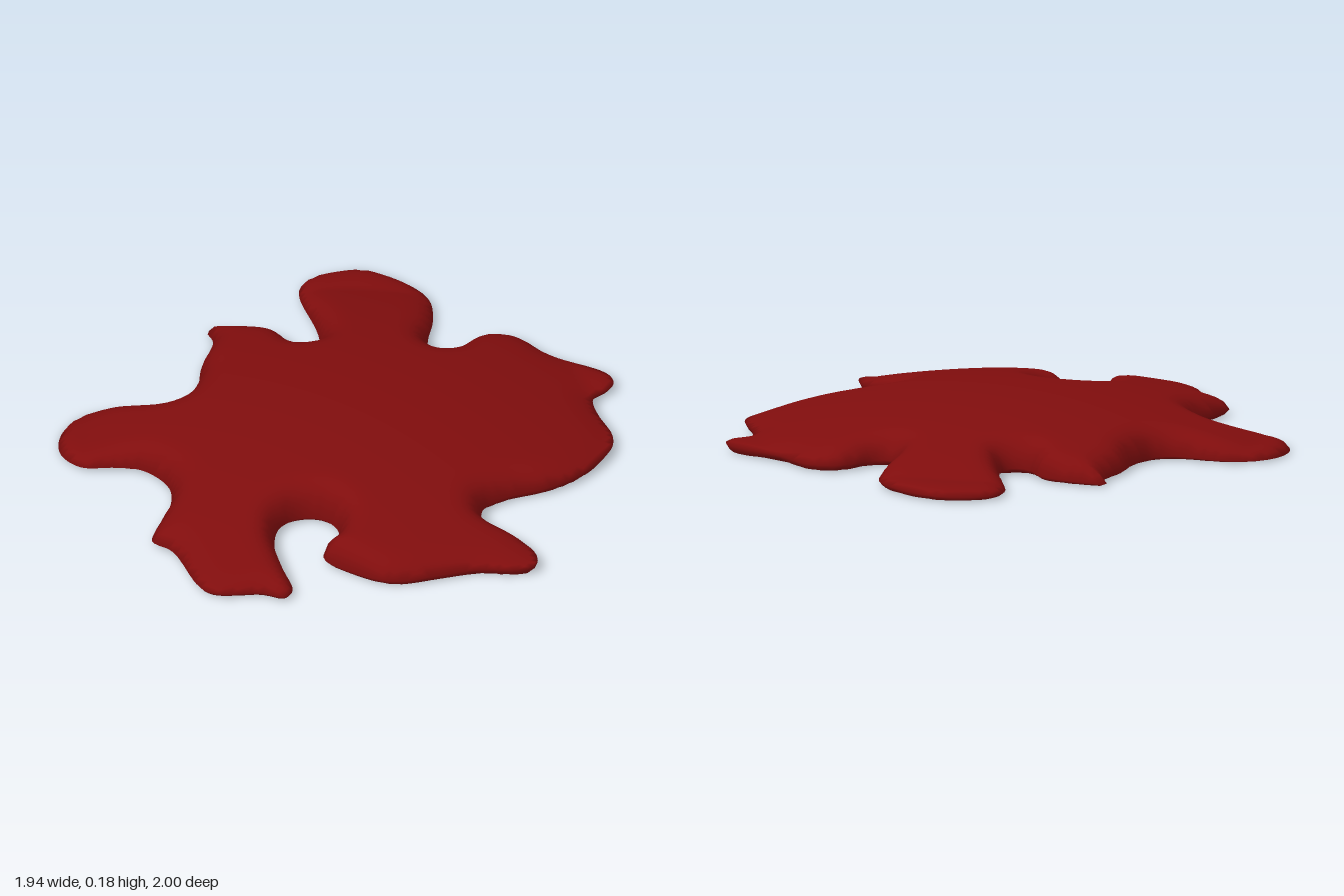
import * as THREE from 'three';
import { mergeVertices } from 'three/addons/utils/BufferGeometryUtils.js';

// Splat outline as [x, z], starting at the rear lobe
const OUTLINE = [
  [-.42, -1], [-.23, -.96], [-.14, -.85], [-.09, -.73], [-.05, -.68], [0, -.67], [.04, -.71], [.055, -.8],
  [.085, -.87], [.18, -.92], [.34, -.89], [.585, -.9], [.64, -.85], [.62, -.74], [.68, -.67], [.8, -.58],
  [.84, -.5], [.825, -.32], [.76, -.185], [.665, -.07], [.62, .04], [.665, .12], [.82, .14], [.935, .19],
  [.97, .25], [.92, .31], [.8, .375], [.69, .48], [.6, .57], [.52, .61], [.28, .61], [.25, .57],
  [.26, .5], [.225, .43], [.14, .4], [.06, .44], [.03, .525], [.07, .63], [.165, .73], [.27, .83],
  [.265, .88], [.18, .9], [.04, .99], [-.03, .99], [-.24, .85], [-.33, .84], [-.355, .78], [-.39, .61],
  [-.455, .52], [-.59, .48], [-.68, .51], [-.8, .575], [-.91, .54], [-.97, .43], [-.96, .32], [-.88, .22],
  [-.705, .13], [-.665, .06], [-.68, -.06], [-.73, -.17], [-.775, -.33], [-.83, -.375], [-.76, -.42], [-.59, -.465],
  [-.465, -.42], [-.41, -.475], [-.46, -.56], [-.66, -.75], [-.665, -.84], [-.55, -.97],
];
const STEP = 0.02;

// Signed distance to the outline (positive inside); near-edge points snap onto it
function makeSampler() {
  const curve = new THREE.CatmullRomCurve3(OUTLINE.map(([x, z]) => new THREE.Vector3(x, 0, z)), true);
  const pts = curve.getPoints(350);
  return (x, z) => {
    let best = Infinity, nx = x, nz = z, inside = false;
    for (let i = 0; i < pts.length - 1; i++) {
      const a = pts[i], b = pts[i + 1], dx = b.x - a.x, dz = b.z - a.z;
      const t = THREE.MathUtils.clamp(((x - a.x) * dx + (z - a.z) * dz) / (dx * dx + dz * dz), 0, 1);
      const px = a.x + dx * t, pz = a.z + dz * t, d = Math.hypot(x - px, z - pz);
      if (d < best) { best = d; nx = px; nz = pz; }
      if ((a.z > z) !== (b.z > z) && x < a.x + dx * (z - a.z) / dz) inside = !inside;
    }
    if (best < STEP * 0.4) return { x: nx, z: nz, d: 0 };
    return { x, z, d: inside ? best : -best };
  };
}

// Keep the part of a polygon that lies inside the outline
function clip(poly) {
  const out = [];
  poly.forEach((a, i) => {
    const b = poly[(i + 1) % poly.length];
    if (a.d >= 0) out.push(a);
    if (a.d * b.d < 0) {
      // interpolate in a fixed direction so neighbouring cells agree
      const t = a.d / (a.d - b.d);
      out.push({ x: a.x + (b.x - a.x) * t, z: a.z + (b.z - a.z) * t, d: 0 });
    }
  });
  return out;
}

const rimY = (p) => 0.025 + 0.02 * p.x * Math.abs(p.x);

// Shallow dome with a rounded shoulder along the rim
function topY(p) {
  const dome = Math.max(0.05, 0.18 - 0.14 * (p.x * p.x + p.z * p.z));
  const s = 1 - Math.min(p.d / 0.13, 1);
  return rimY(p) + (dome - rimY(p)) * Math.pow(1 - s * s * s, 0.6);
}

// Flat underside, turned up slightly at the rim
function bottomY(p) {
  const s = 1 - Math.min(p.d / 0.03, 1);
  return rimY(p) * s * s;
}

function splatGeometry() {
  const sample = makeSampler(), n = Math.ceil(2.08 / STEP), grid = [], pos = [];
  for (let j = 0; j <= n; j++) {
    for (let i = 0; i <= n; i++) grid.push(sample(-1.04 + i * STEP, -1.04 + j * STEP));
  }
  const at = (i, j) => grid[j * (n + 1) + i];
  const push = (p, y) => pos.push(p.x, y(p), p.z);
  for (let j = 0; j < n; j++) {
    for (let i = 0; i < n; i++) {
      const a = at(i, j), b = at(i, j + 1), c = at(i + 1, j + 1), d = at(i + 1, j);
      for (const tri of [[a, b, d], [b, c, d]]) {
        if (!tri.some((p) => p.d > 0)) continue;
        const poly = clip(tri);
        for (let k = 1; k < poly.length - 1; k++) {
          const t = [poly[0], poly[k], poly[k + 1]];
          t.forEach((p) => push(p, topY));
          t.reverse().forEach((p) => push(p, bottomY));
        }
      }
    }
  }
  const geo = new THREE.BufferGeometry();
  geo.setAttribute('position', new THREE.Float32BufferAttribute(pos, 3));
  const merged = mergeVertices(geo, 1e-4);
  merged.computeVertexNormals();
  return merged;
}

export function createModel() {
  const group = new THREE.Group();
  group.name = 'splat';
  const puddle = new THREE.Mesh(splatGeometry(), new THREE.MeshStandardMaterial({ color: 0x800d0d }));
  puddle.name = 'puddle';
  group.add(puddle);
  return group;
}
